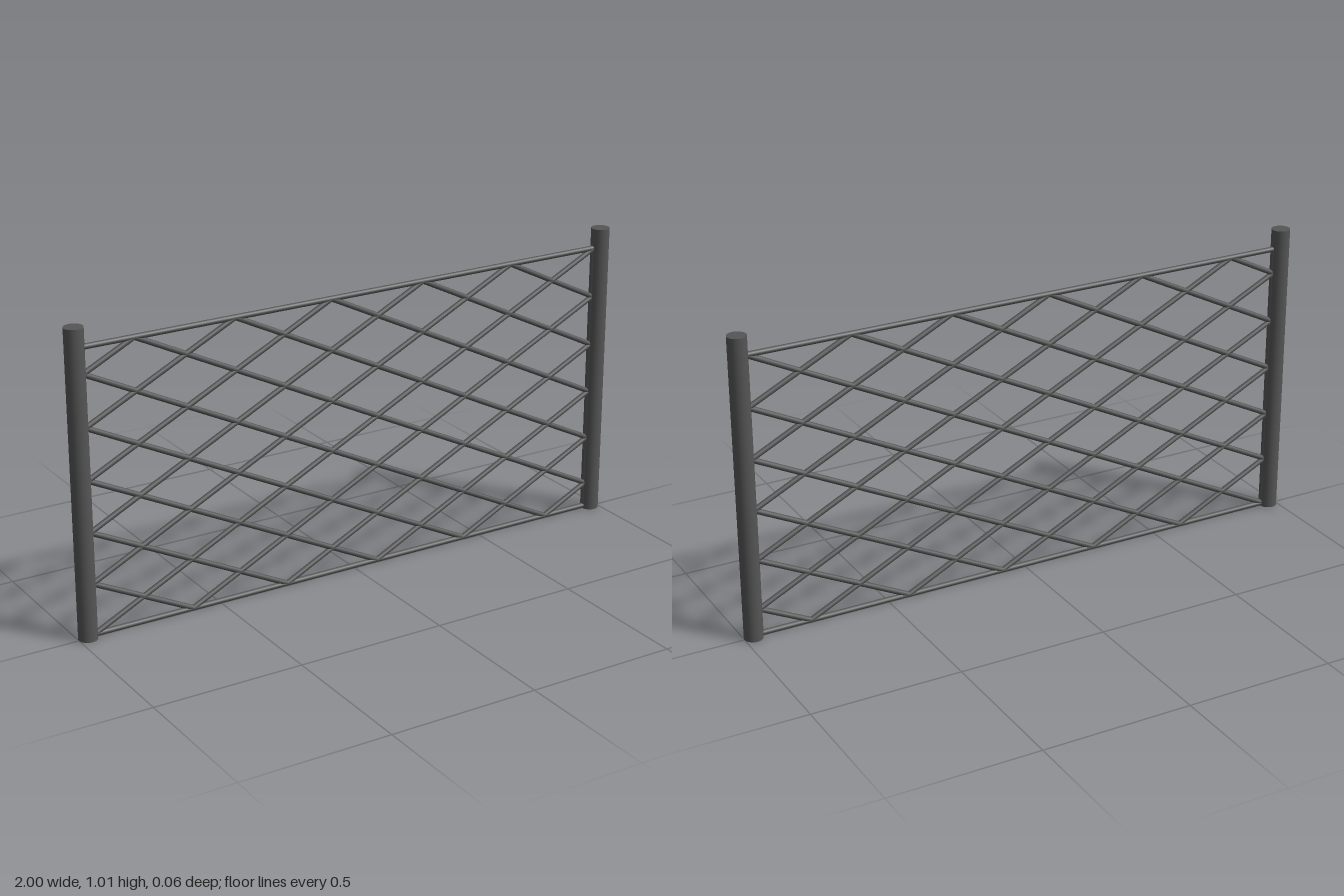
import * as THREE from 'three';

const POST_R = 0.031, POST_H = 1.015, POST_X = 0.969;
const ROD_R = 0.009;
const N = 11;                       // half-diamond steps in each direction
const X0 = -0.945, X1 = 0.945;      // lattice bounds
const Y0 = 0.01, Y1 = 0.948;

export function createModel() {
  const group = new THREE.Group();
  const material = new THREE.MeshStandardMaterial({ color: 0x555555 });

  // Lattice grid point to position
  const node = (i, j) => new THREE.Vector3(
    X0 + (X1 - X0) * i / N, Y0 + (Y1 - Y0) * j / N, 0);

  // Straight round rod between two points
  function addRod(name, a, b) {
    const dir = b.clone().sub(a);
    const rod = new THREE.Mesh(
      new THREE.CylinderGeometry(ROD_R, ROD_R, dir.length(), 10), material);
    rod.position.copy(a).add(b).multiplyScalar(0.5);
    rod.quaternion.setFromUnitVectors(new THREE.Vector3(0, 1, 0), dir.normalize());
    rod.name = name;
    group.add(rod);
  }

  // End posts
  for (const side of [-1, 1]) {
    const post = new THREE.Mesh(
      new THREE.CylinderGeometry(POST_R, POST_R, POST_H, 24), material);
    post.position.set(side * POST_X, POST_H / 2, 0);
    post.name = side > 0 ? 'leftPost' : 'rightPost';
    group.add(post);
  }

  // Frame around the lattice
  addRod('bottomRail', node(0, 0), node(N, 0));
  addRod('topRail', node(0, N), node(N, N));
  addRod('rightFrameRod', node(0, 0), node(0, N));
  addRod('leftFrameRod', node(N, 0), node(N, N));

  // Rising diagonals: i - j is constant and even
  for (let d = -N + 1; d < N; d += 2) {
    const i = Math.max(0, d), end = Math.min(N, N + d);
    addRod('risingWire', node(i, i - d), node(end, end - d));
  }

  // Falling diagonals: i + j is constant and even
  for (let s = 2; s < 2 * N; s += 2) {
    const i = Math.max(0, s - N), end = Math.min(N, s);
    addRod('fallingWire', node(i, s - i), node(end, s - end));
  }

  return group;
}
